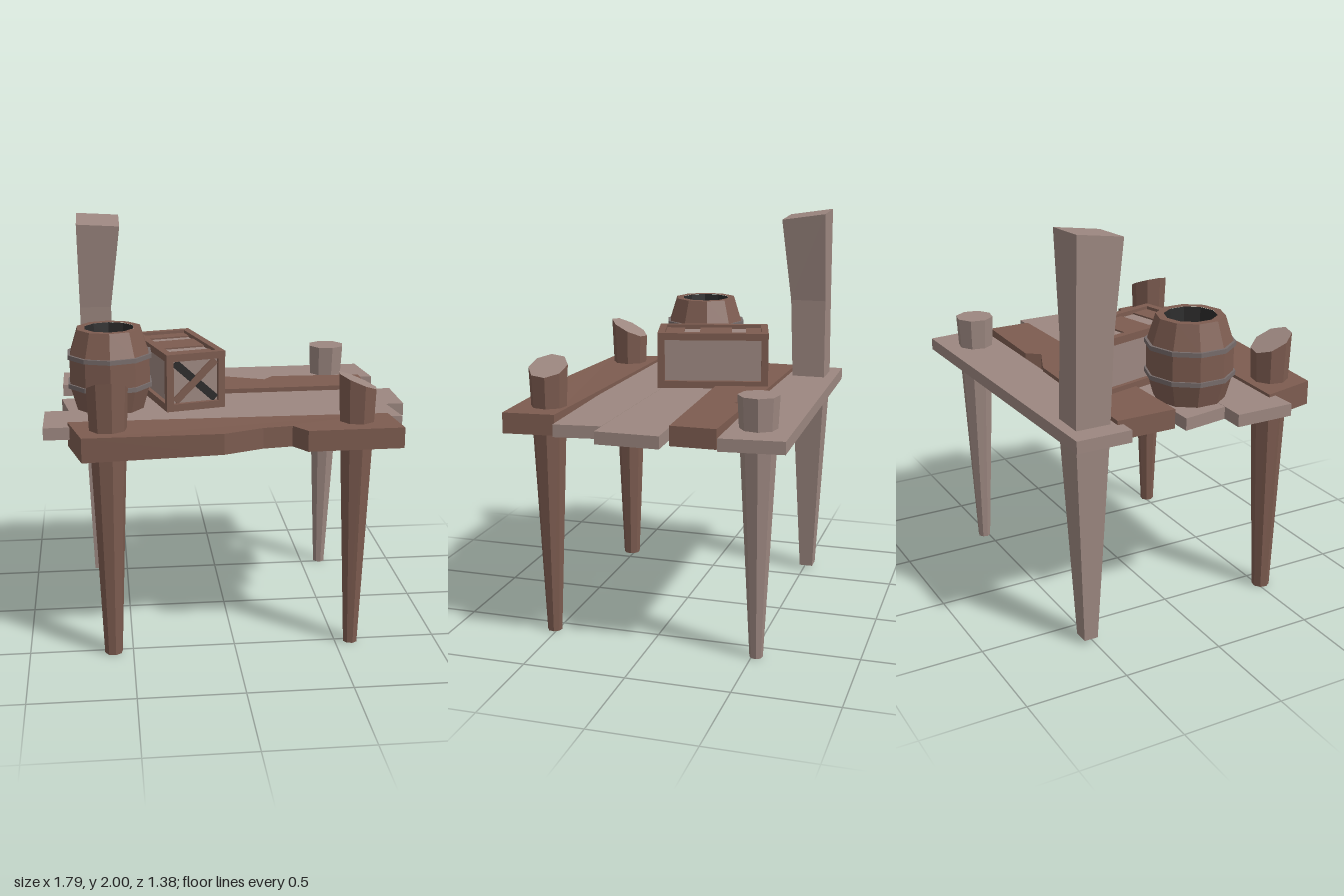
import * as THREE from 'three';

const mat = (name, color) => {
  const m = new THREE.MeshStandardMaterial({ color });
  m.name = name;
  return m;
};

export function createModel() {
  const brown = mat('brown wood', 0x7d5c50);
  const pale = mat('weathered wood', 0x9c8780);
  const metal = mat('hoop metal', 0x776c6b);
  const dark = mat('dark interior', 0x2b2a2a);
  const darkOpen = mat('barrel lining', 0x2b2a2a);
  const model = new THREE.Group();
  model.name = 'dock';

  // Faceted mesh helper
  const add = (parent, name, geo, material, x = 0, y = 0, z = 0) => {
    const g = geo.index ? geo.toNonIndexed() : geo;
    g.computeVertexNormals();
    const mesh = new THREE.Mesh(g, material);
    mesh.name = name;
    mesh.position.set(x, y, z);
    parent.add(mesh);
    return mesh;
  };
  const reshape = (geo, rule) => {
    const p = geo.attributes.position;
    const v = new THREE.Vector3();
    for (let i = 0; i < p.count; i++) {
      rule(v.fromBufferAttribute(p, i));
      p.setXYZ(i, v.x, v.y, v.z);
    }
    return geo;
  };

  // Planks: outlines as [x, z]
  const plank = (name, outline, y0, y1, material, rule) => {
    const shape = new THREE.Shape(outline.map(([x, z]) => new THREE.Vector2(x, -z)));
    const geo = new THREE.ExtrudeGeometry(shape, { depth: y1 - y0, bevelEnabled: false });
    geo.rotateX(-Math.PI / 2).translate(0, y0, 0);
    if (rule) reshape(geo, rule);
    add(model, name, geo, material);
  };
  plank('backPlank', [[-0.82, -0.65], [0.82, -0.69], [0.85, -0.39], [-0.82, -0.375]], 1.06, 1.12, pale);
  plank('notchedPlank', [[-0.74, -0.405], [0.06, -0.39], [0.25, -0.31], [0.3, -0.375],
    [0.77, -0.365], [0.77, -0.145], [-0.74, -0.105]], 1.045, 1.14, brown);
  plank('middlePlank', [[-0.82, -0.095], [0.89, -0.135], [0.89, 0.17], [-0.78, 0.15]], 1.06, 1.12, pale);
  plank('innerPlank', [[-0.9, 0.135], [0.8, 0.17], [0.83, 0.395], [-0.9, 0.43]], 1.061, 1.121, pale);
  plank('frontPlank', [[-0.785, 0.385], [0.75, 0.42], [0.775, 0.67], [0.32, 0.68], [0.26, 0.59],
    [0.12, 0.61], [-0.07, 0.685], [-0.72, 0.66]], 1.045, 1.145, brown,
  (v) => { if (v.x < -0.6) v.y -= v.y < 1.1 ? 0.028 : 0.01; });

  // Tapered round legs; the cut top can lean in x and z
  const leg = (name, x, z, r0, r1, h, tx, tz, material, footX = x) => {
    const geo = new THREE.CylinderGeometry(r1, r0, h, 8, 1, false, 0.2).translate(0, h / 2, 0);
    reshape(geo, (v) => {
      if (v.y > h / 2) v.y += v.x * tx + v.z * tz;
      else v.x += footX - x;
    });
    add(model, name, geo, [material, pale, material], x, 0, z);
  };
  leg('frontRightLeg', -0.595, 0.52, 0.044, 0.098, 1.33, 0, 0.48, brown);
  leg('frontLeftLeg', 0.577, 0.517, 0.036, 0.095, 1.337, -0.42, 0, brown);
  leg('backLeftLeg', 0.62, -0.52, 0.032, 0.097, 1.275, 0, 0, pale, 0.605);

  // Tall corner post: rows of [y, xMin, xMax, zMin, zMax]
  const rows = [
    [0.02, -0.68, -0.6, -0.55, -0.48],
    [1.06, -0.715, -0.545, -0.6, -0.43],
    [1.53, -0.718, -0.555, -0.595, -0.41],
    [1.98, -0.725, -0.503, -0.592, -0.365],
  ];
  const post = reshape(new THREE.BoxGeometry(1, 1, 1, 1, 3, 1), (v) => {
    const k = Math.round((v.y + 0.5) * 3);
    const [y, x0, x1, z0, z1] = rows[k];
    const tilt = k === 3 ? -v.z * 0.034 - v.x * 0.012 : 0;
    v.set(v.x < 0 ? x0 : x1, y + tilt, v.z < 0 ? z0 : z1);
  });
  add(model, 'tallPost', post, pale);

  // Barrel
  const barrel = new THREE.Group();
  barrel.name = 'barrel';
  barrel.position.set(-0.575, 0, 0.07);
  model.add(barrel);
  const lathe = (name, pts, material) =>
    add(barrel, name, new THREE.LatheGeometry(pts.map(([r, y]) => new THREE.Vector2(r, y)), 10), material);
  lathe('staves', [[0.17, 1.122], [0.205, 1.245], [0.205, 1.39], [0.163, 1.522], [0.125, 1.522]], brown);
  darkOpen.side = THREE.DoubleSide;
  lathe('lining', [[0.125, 1.521], [0.12, 1.45], [0.092, 1.135]], darkOpen);
  add(barrel, 'barrelFloor', new THREE.CylinderGeometry(0.1, 0.1, 0.008, 10), pale, 0, 1.134, 0);
  for (const y of [1.246, 1.39]) {
    lathe('hoop', [[0.195, y - 0.011], [0.215, y - 0.011], [0.215, y + 0.011], [0.195, y + 0.011]], metal);
  }

  // Crate
  const crate = new THREE.Group();
  crate.name = 'crate';
  crate.position.set(-0.227, 1.27, -0.072);
  crate.rotation.y = 0.25;
  model.add(crate);
  const W = 0.302, H = 0.285, L = 0.566, t = 0.036;
  const box = (name, w, h, d, m, x, y, z) => add(crate, name, new THREE.BoxGeometry(w, h, d), m, x, y, z);
  box('cratePanels', W - 0.045, H - 0.045, L - 0.045, pale, 0, 0, 0);
  for (const a of [-1, 1]) {
    for (const b of [-1, 1]) {
      box('longRail', t, t, L, brown, a * (W - t) / 2, b * (H - t) / 2, 0);
      box('crossRail', W - 2 * t, t, t, brown, 0, a * (H - t) / 2, b * (L - t) / 2);
      box('upright', t, H - 2 * t, t, brown, a * (W - t) / 2, 0, b * (L - t) / 2);
    }
  }
  // Lid slats
  for (const [z, d] of [[-0.208, 0.078], [-0.012, 0.165], [0.2, 0.095]]) {
    box('lidSlat', W - 2 * t, 0.008, d, brown, 0, H / 2 - 0.019, z);
  }
  // Diagonal braces on the ends
  const angle = Math.atan2(H - 2 * t, W - 2 * t);
  for (const s of [-1, 1]) {
    const z = s * (L / 2 - 0.018);
    box('brace', 0.285, 0.036, 0.016, brown, 0, 0, z).rotation.z = angle;
    if (s > 0) box('darkBrace', 0.285, 0.04, 0.009, dark, 0, 0, z).rotation.z = -angle;
  }
  return model;
}
